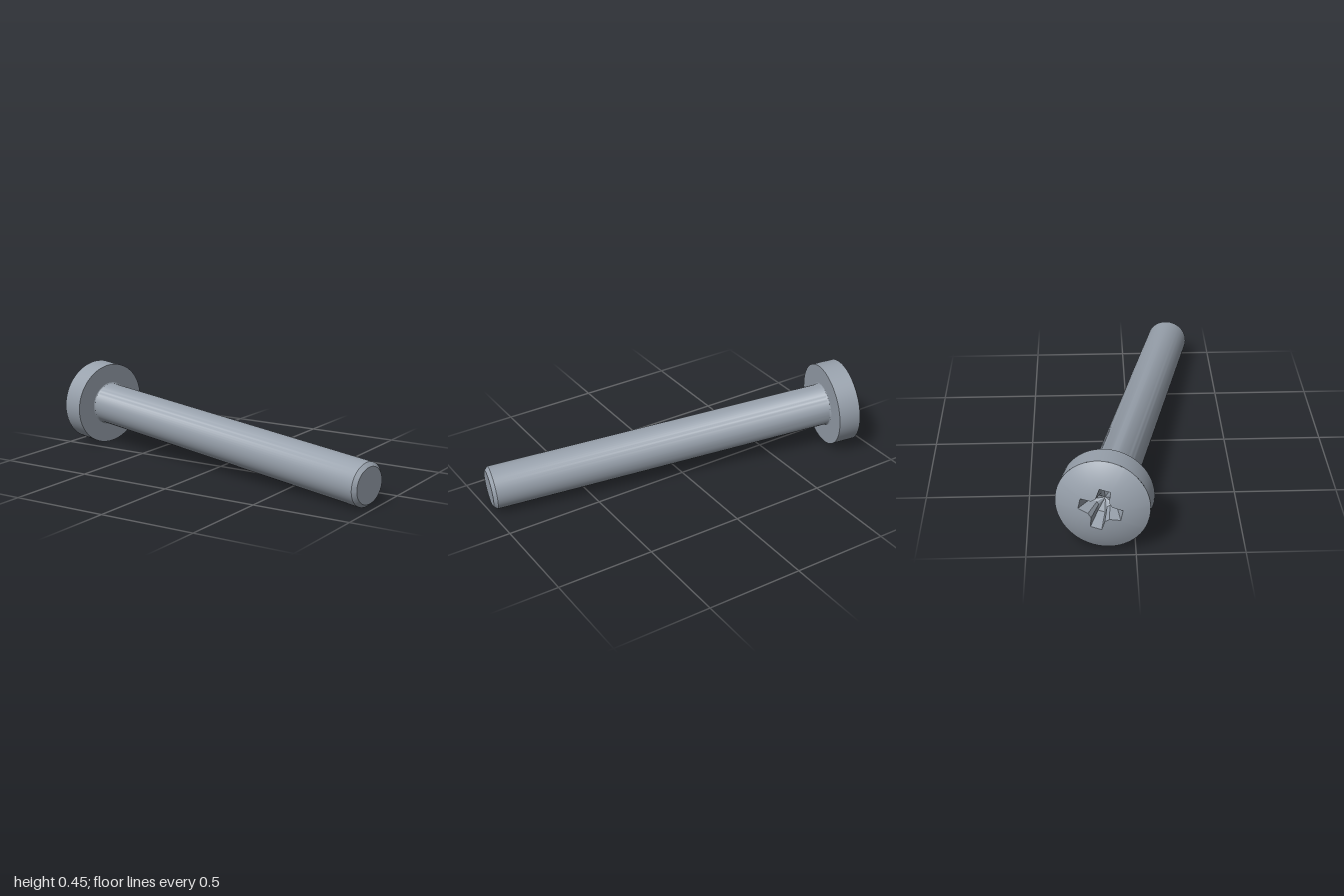
import * as THREE from 'three';
import { toCreasedNormals } from 'three/addons/utils/BufferGeometryUtils.js';

const HEAD_R = 0.22, SHANK_R = 0.11, LENGTH = 1.833;
const RIM_Y = 0.117, DOME_R = 0.44;
const FILLET = 0.008;

// Height of the domed top at distance r from the axis
const domeY = (r) =>
  RIM_Y + Math.sqrt(DOME_R ** 2 - r ** 2) - Math.sqrt(DOME_R ** 2 - HEAD_R ** 2);

// Surface of revolution with sharp edges kept
function lathe(profile) {
  const pts = profile.map(([r, y]) => new THREE.Vector2(r, y));
  return toCreasedNormals(new THREE.LatheGeometry(pts, 64), 0.6);
}

// Skin between closed rings, listed from the inside outwards, facing up
function loft(rings) {
  const n = rings[0].length, index = [];
  for (let j = 0; j < rings.length - 1; j++) {
    for (let i = 0; i < n; i++) {
      const a = j * n + i, d = j * n + (i + 1) % n;
      index.push(a, d, d + n, a, d + n, a + n);
    }
  }
  const g = new THREE.BufferGeometry();
  g.setAttribute('position', new THREE.Float32BufferAttribute(rings.flat(2), 3));
  g.setIndex(index);
  g.computeVertexNormals();
  return g;
}

// Cross-shaped outline of the drive recess, subdivided along its edges
function crossOutline() {
  const w = 0.026, corners = [], out = [];
  for (let k = 0; k < 4; k++) {
    const t = k * Math.PI / 2 + 0.2;
    for (const [x, y] of [[0.1, -w], [0.1, w], [0.05, w + 0.006], [w + 0.006, 0.05]]) {
      corners.push([x * Math.cos(t) - y * Math.sin(t), x * Math.sin(t) + y * Math.cos(t)]);
    }
  }
  corners.forEach(([x, y], i) => {
    const [u, v] = corners[(i + 1) % corners.length];
    for (let s = 0; s < 4; s++) out.push([x + (u - x) * s / 4, y + (v - y) * s / 4]);
  });
  return out;
}

export function createModel() {
  const steel = new THREE.MeshStandardMaterial({ color: 0x98a1ac });
  steel.name = 'steel grey';
  const screw = new THREE.Group();
  screw.name = 'screw';
  const add = (name, geometry) => {
    const m = new THREE.Mesh(geometry, steel);
    m.name = name;
    screw.add(m);
  };

  // Shank with chamfered tip and a small fillet under the head
  const shank = [[0, -LENGTH], [0.092, -LENGTH], [SHANK_R, -LENGTH + 0.018]];
  for (let i = 0; i <= 4; i++) {
    const a = i * Math.PI / 8;
    shank.push([SHANK_R + FILLET * (1 - Math.cos(a)), -FILLET + FILLET * Math.sin(a)]);
  }
  add('shank', lathe(shank));

  // Head underside and side wall
  add('headSide', lathe([[SHANK_R + FILLET, 0], [HEAD_R, 0], [HEAD_R, RIM_Y]]));

  // Domed top around the recess
  const outline = crossOutline();
  const rings = [];
  for (let j = 0; j <= 8; j++) {
    rings.push(outline.map(([x, z]) => {
      const r0 = Math.hypot(x, z), r = r0 + (HEAD_R - r0) * j / 8;
      return [x * r / r0, domeY(r), z * r / r0];
    }));
  }
  add('headDome', loft(rings));

  // Tapered recess walls and floor
  const scaled = (s, y) => outline.map(([x, z]) => [x * s, y, z * s]);
  const recess = loft([scaled(0.01, 0.05), scaled(0.62, 0.075), rings[0]]);
  add('driveRecess', toCreasedNormals(recess, 0.3));

  // Lay the screw along its slanted axis, head towards -x
  const axis = new THREE.Vector3(-0.9757, 0.0601, -0.2105).normalize();
  const up = new THREE.Vector3(0, 1, 0).addScaledVector(axis, -axis.y).normalize();
  const side = new THREE.Vector3().crossVectors(axis, up);
  screw.quaternion.setFromRotationMatrix(new THREE.Matrix4().makeBasis(side, axis, up));
  screw.position.set(-0.81, 0.22, -0.125);

  const model = new THREE.Group();
  model.name = 'panHeadScrew';
  model.add(screw);
  return model;
}
